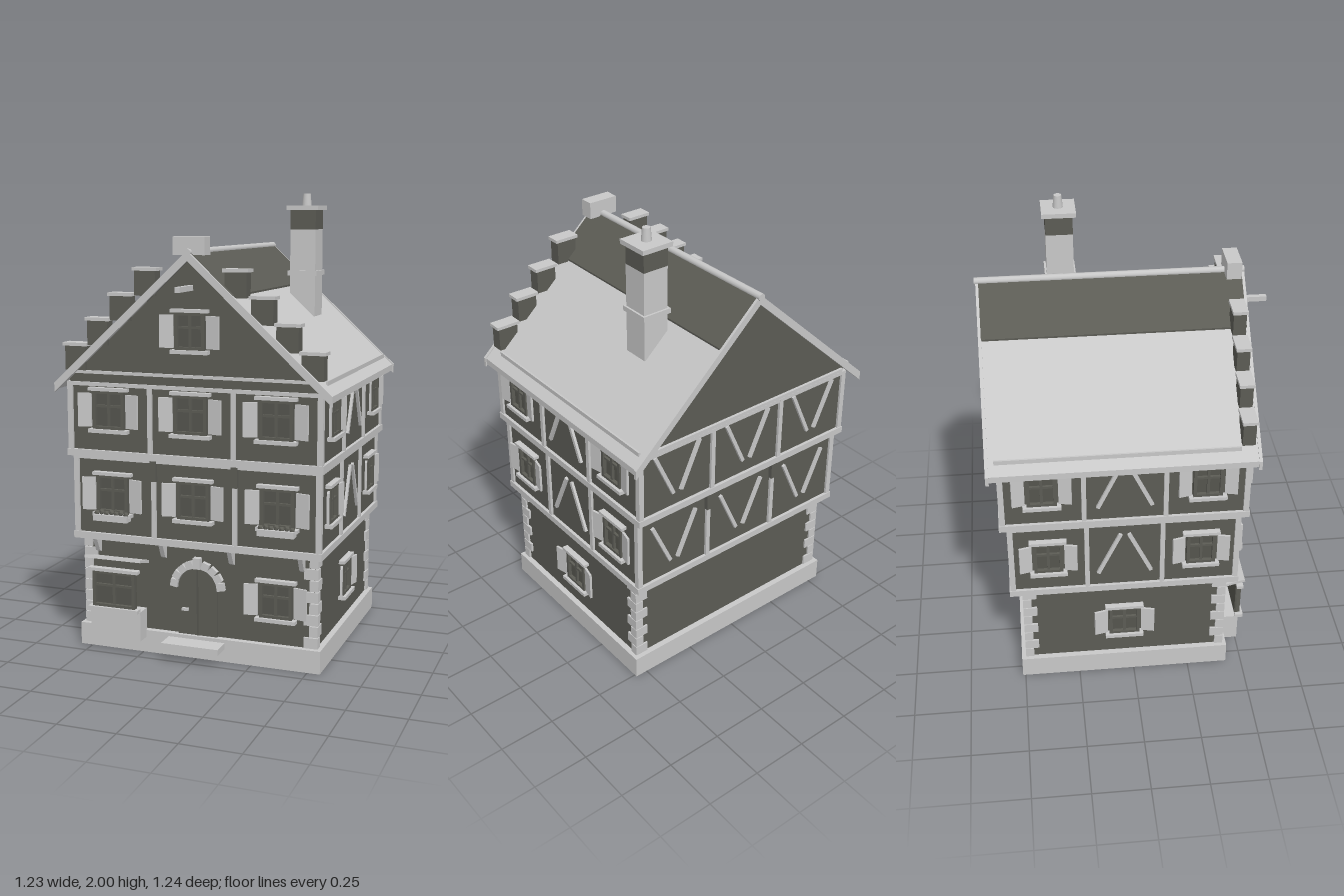
import * as THREE from 'three';

const light = new THREE.MeshStandardMaterial({ color: 0xc8c8c8 });
light.name = 'pale stone and timber';
const dark = new THREE.MeshStandardMaterial({ color: 0x5c5c55 });
dark.name = 'dark plaster';
const glass = new THREE.MeshStandardMaterial({ color: 0x55554e });
glass.name = 'window glass';

function add(parent, name, geo, mat, x = 0, y = 0, z = 0) {
  const m = new THREE.Mesh(geo, mat);
  m.name = name;
  m.position.set(x, y, z);
  parent.add(m);
  return m;
}
// Box given by its minimum and maximum on each axis
function block(parent, name, mat, x0, x1, y0, y1, z0, z1) {
  return add(parent, name, new THREE.BoxGeometry(x1 - x0, y1 - y0, z1 - z0), mat,
    (x0 + x1) / 2, (y0 + y1) / 2, (z0 + z1) / 2);
}
// Outline in x and y, extruded from z0 to z1
function prism(parent, name, mat, pts, z0, z1) {
  const shape = new THREE.Shape(pts.map(p => new THREE.Vector2(...p)));
  const geo = new THREE.ExtrudeGeometry(shape, { depth: z1 - z0, bevelEnabled: false });
  return add(parent, name, geo, mat, 0, 0, z0);
}
function group(parent, name, x = 0, y = 0, z = 0, ry = 0) {
  const g = new THREE.Group();
  g.name = name;
  g.position.set(x, y, z);
  g.rotation.y = ry;
  parent.add(g);
  return g;
}

// Window centred on the origin of its group, facing local +z
function windowUnit(g, w, h, shutter = 0.06) {
  const a = w / 2, b = h / 2;
  block(g, 'pane', glass, -a, a, -b, b, -0.005, 0.004);
  for (const s of [-1, 1]) {
    add(g, 'frameSide', new THREE.BoxGeometry(0.014, h, 0.02), dark, s * (a - 0.007), 0, 0.01);
    add(g, 'frameRail', new THREE.BoxGeometry(w, 0.012, 0.02), dark, 0, s * (b - 0.006), 0.01);
    if (shutter) {
      const hinge = group(g, 'shutterHinge', s * (a + 0.008), -0.002, 0.012, -s * 0.22);
      add(hinge, 'shutter', new THREE.BoxGeometry(shutter, h * 0.88, 0.01), light, s * shutter / 2, 0, 0);
    }
  }
  add(g, 'mullion', new THREE.BoxGeometry(0.012, h, 0.014), dark, 0, 0, 0.008);
  add(g, 'transom', new THREE.BoxGeometry(w, 0.01, 0.014), dark, 0, h * 0.1, 0.008);
  add(g, 'lintel', new THREE.BoxGeometry(w + 0.036, 0.014, 0.03), light, 0, b + 0.007, 0.012);
  add(g, 'sill', new THREE.BoxGeometry(w + 0.036, 0.016, 0.036), light, 0, -b - 0.008, 0.015);
}

// Sloping diagonal brace between two points on a wall
function brace(g, x0, y0, x1, y1) {
  const m = add(g, 'brace', new THREE.BoxGeometry(0.016, Math.hypot(x1 - x0, y1 - y0), 0.012), light,
    (x0 + x1) / 2, (y0 + y1) / 2, 0.006);
  m.rotation.z = -Math.atan2(x1 - x0, y1 - y0);
}

const ZC = -0.0425; // middle of the house body in z

// Timber-framed storey: walls, beams, posts, braces and windows
function storey(root, name, y0, y1, hx, hz, sideWindow, braceY, winY) {
  const g = group(root, name, 0, 0, ZC);
  block(g, 'walls', dark, -hx, hx, y0, y1, -hz, hz);
  block(g, 'sillBeam', light, -hx - 0.014, hx + 0.014, y0, y0 + 0.03, -hz - 0.014, hz + 0.014);
  for (const sx of [-1, 1]) for (const sz of [-1, 1])
    add(g, 'cornerPost', new THREE.BoxGeometry(0.024, y1 - y0, 0.024), light,
      sx * (hx - 0.002), (y0 + y1) / 2, sz * (hz - 0.002));
  const faces = [
    ['front', 0, hz, 0, hx], ['back', 0, -hz, Math.PI, hx],
    ['left', hx, 0, Math.PI / 2, hz], ['right', -hx, 0, -Math.PI / 2, hz]];
  for (const [side, x, z, ry, half] of faces) {
    const f = group(g, side + 'Face', x, 0, z, ry);
    block(f, 'headBeam', light, -half, half, y1 - 0.016, y1, 0, 0.011);
    for (const s of [-1, 1])
      block(f, 'post', light, s * half / 3 - 0.01, s * half / 3 + 0.01, y0, y1, 0, 0.012);
    const [lo, hi] = braceY;
    for (const s of [-1, 1]) {
      if (side === 'back') {
        for (const bay of [-1, 0, 1])
          brace(f, bay * half * 0.667 + s * 0.02, lo, bay * half * 0.667 + s * 0.115, hi);
      } else if (side !== 'front') {
        brace(f, s * 0.115, lo, s * 0.018, hi);
        windowUnit(group(f, 'sideWindow', s * sideWindow, winY, 0), 0.125, 0.155, 0.055);
      }
    }
    if (side === 'front') for (const bay of [-1, 0, 1])
      windowUnit(group(f, 'frontWindow', bay * 0.375, winY, 0), 0.145, 0.165);
  }
}

const roofY = x => 1.757 - 0.92 * Math.abs(x);
// Sloping strip that follows the roof, on one side of the ridge
function roofStrip(parent, name, mat, s, x0, x1, up, down, z0, z1) {
  const pts = [[s * x0, roofY(x0) - down], [s * x1, roofY(x1) - down],
    [s * x1, roofY(x1) + up], [s * x0, roofY(x0) + up]];
  prism(parent, name, mat, pts, z0, z1);
}

export function createModel() {
  const root = new THREE.Group();
  root.name = 'townHouse';

  // Stone ground floor with quoins
  const ground = group(root, 'groundFloor');
  block(ground, 'plinth', light, -0.556, 0.556, 0, 0.1, -0.512, 0.43);
  block(ground, 'groundWalls', dark, -0.53, 0.53, 0.1, 0.5, -0.485, 0.402);
  for (let i = 0; i < 8; i++) for (const sx of [-1, 1]) for (const sz of [-1, 1]) {
    const a = i % 2 ? 0.038 : 0.062, b = i % 2 ? 0.062 : 0.038;
    add(ground, 'quoin', new THREE.BoxGeometry(a, 0.046, b), light,
      sx * (0.54 - a / 2), 0.125 + i * 0.05, -0.04 + sz * (0.453 - b / 2));
  }
  for (const s of [-1, 1])
    windowUnit(group(ground, 'sideWindow', s * 0.53, 0.295, ZC, s * Math.PI / 2), 0.135, 0.15);
  windowUnit(group(ground, 'frontWindow', 0.355, 0.295, 0.402), 0.145, 0.155);

  // Corbels carrying the overhang
  for (const x of [-0.47, -0.157, 0.157, 0.47]) {
    const c = prism(ground, 'corbel', light, [[0, 0.43], [0.02, 0.44], [0.05, 0.5], [0, 0.5]], -0.01, 0.01);
    c.rotation.y = -Math.PI / 2;
    c.position.set(x + 0.01, 0, 0.402);
  }

  // Arched door with a stone surround
  const door = group(root, 'door', 0, 0, 0.402);
  const leaf = new THREE.Shape();
  leaf.moveTo(-0.09, 0.1).lineTo(0.09, 0.1).lineTo(0.09, 0.31);
  leaf.absarc(0, 0.31, 0.09, 0, Math.PI, false);
  add(door, 'doorLeaf', new THREE.ExtrudeGeometry(leaf, { depth: 0.012, bevelEnabled: false }), dark);
  block(door, 'doorSeam', glass, -0.003, 0.003, 0.1, 0.395, 0.01, 0.016);
  block(door, 'doorHandle', light, -0.07, -0.04, 0.208, 0.22, 0.01, 0.025);
  for (let i = 0; i < 9; i++) {
    const t = Math.PI * (i + 0.5) / 9;
    const key = i === 4 ? 0.014 : 0;
    const v = add(door, 'archStone', new THREE.BoxGeometry(0.034 + key, 0.034, 0.024 + key), light,
      (0.108 + key / 2) * Math.cos(t), 0.31 + (0.108 + key / 2) * Math.sin(t), 0.01);
    v.rotation.z = t;
  }
  block(root, 'doorstep', light, -0.13, 0.13, 0.057, 0.085, 0.42, 0.52);

  // Shop front with counter and canopy
  const shop = group(root, 'shopFront');
  block(shop, 'counter', light, -0.475, -0.238, 0.068, 0.2, 0.42, 0.492);
  windowUnit(group(shop, 'shopWindow', -0.36, 0.292, 0.482), 0.2, 0.16, 0);
  const canopy = add(shop, 'canopy', new THREE.BoxGeometry(0.265, 0.012, 0.1), light, -0.36, 0.422, 0.462);
  canopy.rotation.x = -0.25;

  // Two jettied timber storeys
  storey(root, 'firstFloor', 0.5, 0.875, 0.552, 0.49, 0.33, [0.6, 0.81], 0.71);
  storey(root, 'secondFloor', 0.875, 1.2, 0.562, 0.517, 0.347, [0.97, 1.18], 1.083);
  for (const x of [-0.184, 0.184]) for (const s of [-1, 1])
    block(root, 'bracket', dark, x - 0.014, x + 0.014, 0.78, 0.875, ZC + s * 0.497 - 0.012, ZC + s * 0.497 + 0.012);

  // Flower boxes under the outer first-floor windows
  for (const x of [-0.375, 0.375]) {
    block(root, 'flowerBox', light, x - 0.08, x + 0.08, 0.594, 0.622, 0.45, 0.495);
    for (let i = 0; i < 7; i++)
      add(root, 'plant', new THREE.IcosahedronGeometry(0.014, 0), dark, x - 0.069 + i * 0.023, 0.625 + (i % 2) * 0.005, 0.475);
  }

  // Attic and roof
  const roof = group(root, 'roof');
  prism(roof, 'attic', dark, [[-0.562, 1.2], [0.562, 1.2], [0.562, 1.216], [0, 1.733], [-0.562, 1.216]], -0.558, 0.475);
  block(roof, 'frontTieBeam', light, -0.55, 0.55, 1.237, 1.25, 0.47, 0.486);
  block(roof, 'backTieBeam', light, -0.55, 0.55, 1.2, 1.215, -0.57, -0.555);
  windowUnit(group(roof, 'atticWindow', 0, 1.433, 0.475), 0.13, 0.155);
  for (const s of [-1, 1]) {
    roofStrip(roof, 'upperTiles', dark, s, 0, 0.194, 0.008, 0.028, -0.6, 0.505);
    roofStrip(roof, 'lowerTiles', light, s, 0.194, 0.612, 0, 0.028, -0.6, 0.505);
    roofStrip(roof, 'frontBargeboard', light, s, 0, 0.617, 0.006, 0.035, 0.503, 0.517);
    roofStrip(roof, 'backBargeboard', light, s, 0, 0.617, 0.006, 0.035, -0.612, -0.598);
    block(roof, 'snowRail', light, s * 0.572 - 0.004, s * 0.572 + 0.004, 1.225, 1.246, -0.575, 0.435);
  }
  const ridge = add(roof, 'ridge', new THREE.CylinderGeometry(0.016, 0.016, 1.135, 10), light, 0, 1.755, -0.05);
  ridge.rotation.x = Math.PI / 2;
  block(roof, 'hoistBeam', light, -0.011, 0.011, 1.6, 1.622, 0.47, 0.622);

  // Stepped gable blocks with caps
  const steps = [[0.527, 1.368], [0.421, 1.478], [0.314, 1.585], [0.2, 1.692]];
  for (const s of [-1, 1]) for (const [x, top] of steps) {
    add(roof, 'gableStep', new THREE.BoxGeometry(0.094, 0.105, 0.054), dark, s * x, top - 0.065, 0.464);
    add(roof, 'gableCap', new THREE.BoxGeometry(0.112, 0.014, 0.064), light, s * x, top - 0.007, 0.464);
  }
  block(roof, 'gableCrown', light, -0.07, 0.07, 1.745, 1.82, 0.433, 0.496);

  // Chimney
  const chimney = group(root, 'chimney', 0.28, 0, -0.248);
  const square = (name, mat, w, y0, y1) => block(chimney, name, mat, -w, w, y0, y1, -w, w);
  square('stack', light, 0.059, 1.45, 1.84);
  square('stackBand', light, 0.068, 1.633, 1.655);
  square('stackTop', dark, 0.059, 1.84, 1.925);
  square('chimneyCap', light, 0.074, 1.925, 1.945);
  add(chimney, 'chimneyPot', new THREE.CylinderGeometry(0.017, 0.022, 0.055, 12), light, 0, 1.9725, 0);

  return root;
}
